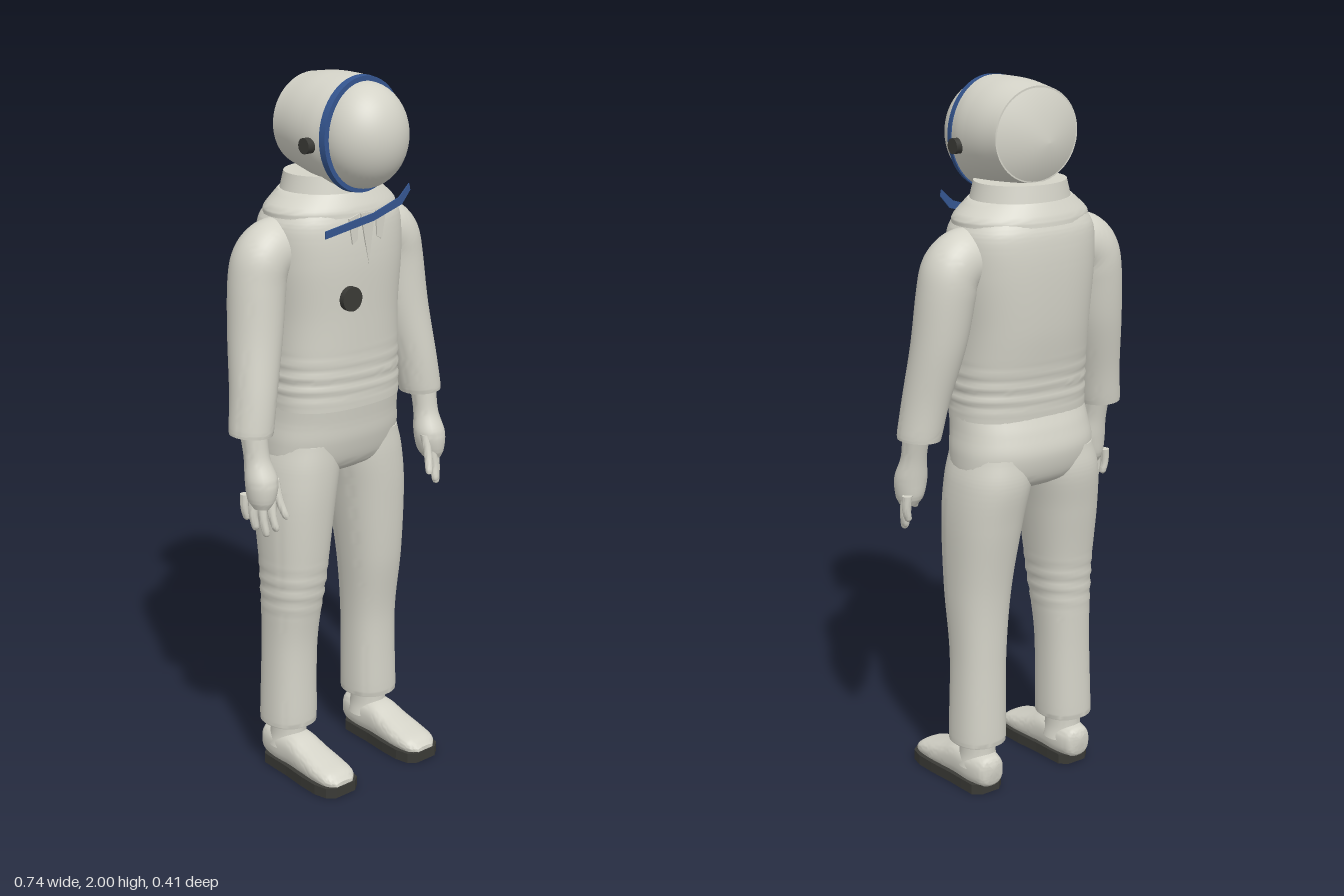
import * as THREE from 'three';
import { toCreasedNormals } from 'three/addons/utils/BufferGeometryUtils.js';

const mat = (name, color) => Object.assign(new THREE.MeshStandardMaterial({ color }), { name });

// Smooth capped loft through elliptical rings [x, y, z, rx, rz, tilt], listed bottom to top.
// side = -1 mirrors it across x; power < 1 makes the rings boxier.
function loft(rows, { side = 1, power = 1, steps = 6, seg = 40, ripple = () => 1 } = {}) {
  const values = rows.flatMap(([x, y, z, rx, rz, tilt = 0]) => [x * side, y, z, rx, rz, tilt * side]);
  const curve = new THREE.CubicInterpolant(rows.map((_, i) => i), values, 6);
  const pos = [], idx = [], n = (rows.length - 1) * steps;
  const bend = v => Math.sign(v) * Math.abs(v) ** power;
  for (let i = 0; i <= n; i++) {
    const [x, y, z, rx, rz, tilt] = [...curve.evaluate(i / steps)];
    for (let j = 0; j < seg; j++) {
      const t = j / seg * Math.PI * 2, k = ripple(y, t);
      const u = rx * k * bend(Math.cos(t)), w = rz * k * bend(Math.sin(t));
      pos.push(x + u * Math.cos(tilt), y + u * Math.sin(tilt), z + w);
    }
  }
  for (let i = 0; i < n; i++) {
    for (let j = 0; j < seg; j++) {
      const a = i * seg + j, b = i * seg + (j + 1) % seg;
      idx.push(a, a + seg, b, b, a + seg, b + seg);
    }
  }
  // end caps
  const first = rows[0], last = rows[rows.length - 1], c = (n + 1) * seg;
  for (const r of [first, last]) pos.push(r[0] * side, r[1], r[2]);
  for (let j = 0; j < seg; j++) {
    const k = (j + 1) % seg;
    idx.push(c, j, k, c + 1, n * seg + k, n * seg + j);
  }
  const g = new THREE.BufferGeometry();
  g.setAttribute('position', new THREE.Float32BufferAttribute(pos, 3));
  g.setIndex(idx);
  return toCreasedNormals(g, 0.75);
}

// Loft running along z: rows are [z, centre y, rx, ry], back to front.
const loftZ = (rows, x = 0, opts = {}) =>
  loft(rows.map(([z, y, rx, ry]) => [x, z, -y, rx, ry]), opts).rotateX(Math.PI / 2);

// Flat plate facing +z.
const plate = (pts, z) => new THREE.ExtrudeGeometry(
  new THREE.Shape(pts.map(p => new THREE.Vector2(...p))), { depth: 0.004, bevelEnabled: false }).translate(0, 0, z);

export function createModel() {
  const model = new THREE.Group();
  model.name = 'spacesuit';
  const suit = mat('suitWhite', 0xd4d3c8);
  const dark = mat('darkRubber', 0x3a3a36);
  const blue = mat('blueTrim', 0x34558f);
  const add = (name, geo, material) => {
    const mesh = new THREE.Mesh(geo, material);
    mesh.name = name;
    model.add(mesh);
  };
  const folds = (lo, hi, size, freq) => (y, t) => y < lo || y > hi ? 1
    : 1 + size * Math.sin((y - lo) / (hi - lo) * Math.PI) * Math.sin(y * freq + Math.sin(t * 2));

  // Jacket body with waist folds, and collar
  add('jacket', loft([
    [0, 1.1, -0.035, 0.2, 0.134], [0, 1.2, -0.038, 0.197, 0.138], [0, 1.35, -0.047, 0.195, 0.15],
    [0, 1.5, -0.049, 0.207, 0.156], [0, 1.6, -0.05, 0.206, 0.15], [0, 1.65, -0.048, 0.18, 0.135],
  ], { power: 0.82, steps: 12, seg: 56, ripple: folds(1.11, 1.27, 0.016, 170) }), suit);
  add('collarBase', loft([
    [0, 1.63, -0.048, 0.2, 0.148], [0, 1.65, -0.048, 0.196, 0.144], [0, 1.69, -0.048, 0.15, 0.124],
  ], { steps: 4 }), suit);
  add('neckRing', loft([[0, 1.66, -0.048, 0.15, 0.128], [0, 1.735, -0.048, 0.13, 0.115]], { steps: 1 }), suit);

  // Hips
  add('hips', loft([
    [0, 0.9, -0.057, 0.15, 0.08], [0, 0.93, -0.057, 0.205, 0.122], [0, 1.0, -0.055, 0.212, 0.143],
    [0, 1.06, -0.046, 0.204, 0.14], [0, 1.105, -0.035, 0.2, 0.134],
  ], { power: 0.85 }), suit);

  for (const side of [1, -1]) {
    const tag = side > 0 ? 'left' : 'right';

    // Trouser legs; the right knee is creased
    add(tag + 'Leg', loft([
      [0.155, 0.15, -0.055, 0.074, 0.079], [0.155, 0.17, -0.055, 0.077, 0.081], [0.15, 0.4, -0.053, 0.075, 0.08],
      [0.143, 0.6, -0.043, 0.087, 0.097], [0.132, 0.8, -0.05, 0.102, 0.119],
      [0.117, 0.92, -0.057, 0.107, 0.13], [0.106, 1.0, -0.055, 0.096, 0.125],
    ], { side, power: 0.88, steps: 16, ripple: side < 0 ? folds(0.48, 0.66, 0.025, 150) : undefined }), suit);

    // Arms, curving over the shoulder
    add(tag + 'Arm', loft([
      [0.312, 1.06, -0.012, 0.058, 0.062, 0.05], [0.309, 1.08, -0.013, 0.06, 0.064, 0.06],
      [0.294, 1.17, -0.022, 0.063, 0.068, 0.08], [0.267, 1.32, -0.044, 0.074, 0.076, 0.06],
      [0.25, 1.45, -0.055, 0.079, 0.08, 0.2], [0.235, 1.51, -0.056, 0.082, 0.081, 0.6],
      [0.2, 1.54, -0.056, 0.085, 0.079, 1.05], [0.15, 1.545, -0.056, 0.088, 0.075, 1.4],
    ], { side, steps: 8 }), suit);

    // Hand and fingers
    add(tag + 'Hand', loft([
      [0.318, 0.865, 0.035, 0.025, 0.03], [0.315, 0.89, 0.033, 0.038, 0.042], [0.312, 0.94, 0.03, 0.045, 0.046],
      [0.313, 1.0, 0.013, 0.035, 0.037], [0.313, 1.07, 0, 0.036, 0.04],
    ], { side, seg: 24 }), suit);
    const fingers = [
      [0.345, 0.9, 0, 0.342, 0.825, 0.002], [0.335, 0.89, 0.022, 0.333, 0.8, 0.028],
      [0.32, 0.89, 0.042, 0.318, 0.785, 0.055], [0.3, 0.89, 0.055, 0.298, 0.8, 0.072],
      [0.28, 0.94, 0.045, 0.268, 0.83, 0.078],
    ];
    for (const [x, y, z, tx, ty, tz] of fingers) {
      add(tag + 'Finger', loft([
        [tx, ty, tz, 0.003, 0.003], [tx, ty + 0.008, tz, 0.01, 0.01],
        [(x + tx) / 2 + 0.004, (y + ty) / 2, (z + tz) / 2, 0.012, 0.012], [x, y, z, 0.014, 0.014],
      ], { side, seg: 12, steps: 4 }), suit);
    }

    // Ankle, shoe upper and sole
    add(tag + 'Ankle', loft([
      [0.155, 0.07, -0.055, 0.058, 0.06], [0.155, 0.11, -0.055, 0.05, 0.055], [0.155, 0.17, -0.055, 0.05, 0.055],
    ], { side, steps: 4 }), suit);
    add(tag + 'Shoe', loftZ([
      [-0.138, 0.075, 0.015, 0.02], [-0.125, 0.066, 0.04, 0.044], [-0.07, 0.066, 0.053, 0.052],
      [0, 0.066, 0.054, 0.052], [0.06, 0.055, 0.056, 0.042], [0.12, 0.046, 0.058, 0.032],
      [0.17, 0.04, 0.052, 0.022], [0.194, 0.034, 0.03, 0.008],
    ], 0.157 * side, { power: 0.8 }), suit);
    const half = [[0.03, -0.12], [0.052, -0.1], [0.055, -0.05], [0.057, 0], [0.065, 0.08], [0.067, 0.14],
      [0.058, 0.18], [0.035, 0.198]];
    const outline = [...half, ...half.map(([x, z]) => [-x, z]).reverse()].map(p => new THREE.Vector2(...p));
    add(tag + 'Sole', new THREE.ExtrudeGeometry(new THREE.Shape(outline), { depth: 0.03, bevelEnabled: false })
      .rotateX(Math.PI / 2).translate(0.157 * side, 0.03, 0), dark);

    // Helmet side knob
    add(tag + 'HelmetKnob', new THREE.CylinderGeometry(0.021, 0.021, 0.024, 24)
      .rotateZ(Math.PI / 2).translate(0.149 * side, 1.825, 0.035), dark);
  }

  // Helmet shell, pointed back, rim and domed visor
  add('helmetShell', loftZ([
    [-0.12, 1.86, 0.135, 0.127], [-0.04, 1.856, 0.145, 0.142], [0.03, 1.849, 0.145, 0.15], [0.075, 1.845, 0.136, 0.152],
  ], 0, { seg: 56 }), suit);
  add('helmetBack', loftZ([[-0.177, 1.845, 0.001, 0.001], [-0.118, 1.86, 0.135, 0.127]], 0, { seg: 56, steps: 1 }), suit);
  add('helmetRim', loftZ([[0.072, 1.844, 0.14, 0.155], [0.091, 1.844, 0.137, 0.153]], 0, { seg: 56, steps: 1 }), blue);
  add('visor', new THREE.SphereGeometry(1, 48, 20, 0, Math.PI * 2, 0, Math.PI / 2)
    .rotateX(Math.PI / 2).scale(0.123, 0.141, 0.116).translate(0, 1.843, 0.09), suit);

  // Neck strap, throat flaps and chest valve
  add('neckStrap', plate([
    [-0.15, 1.59], [0.02, 1.615], [0.12, 1.645], [0.15, 1.68], [0.146, 1.698], [0.11, 1.665], [0.02, 1.636], [-0.15, 1.61],
  ], 0.107), blue);
  for (const s of [1, -1]) {
    const pts = [[0.03 * s, 1.64], [0.065 * s, 1.63], [0.052 * s, 1.56], [0.035 * s, 1.57]];
    add('throatFlap', plate(pts, 0.102), suit);
  }
  add('throatTongue', plate([[-0.025, 1.64], [0.004, 1.5], [0.025, 1.64]], 0.104), suit);
  add('chestValve', new THREE.CylinderGeometry(0.033, 0.033, 0.016, 32).rotateX(Math.PI / 2)
    .translate(-0.1, 1.43, 0.153), dark);
  return model;
}
